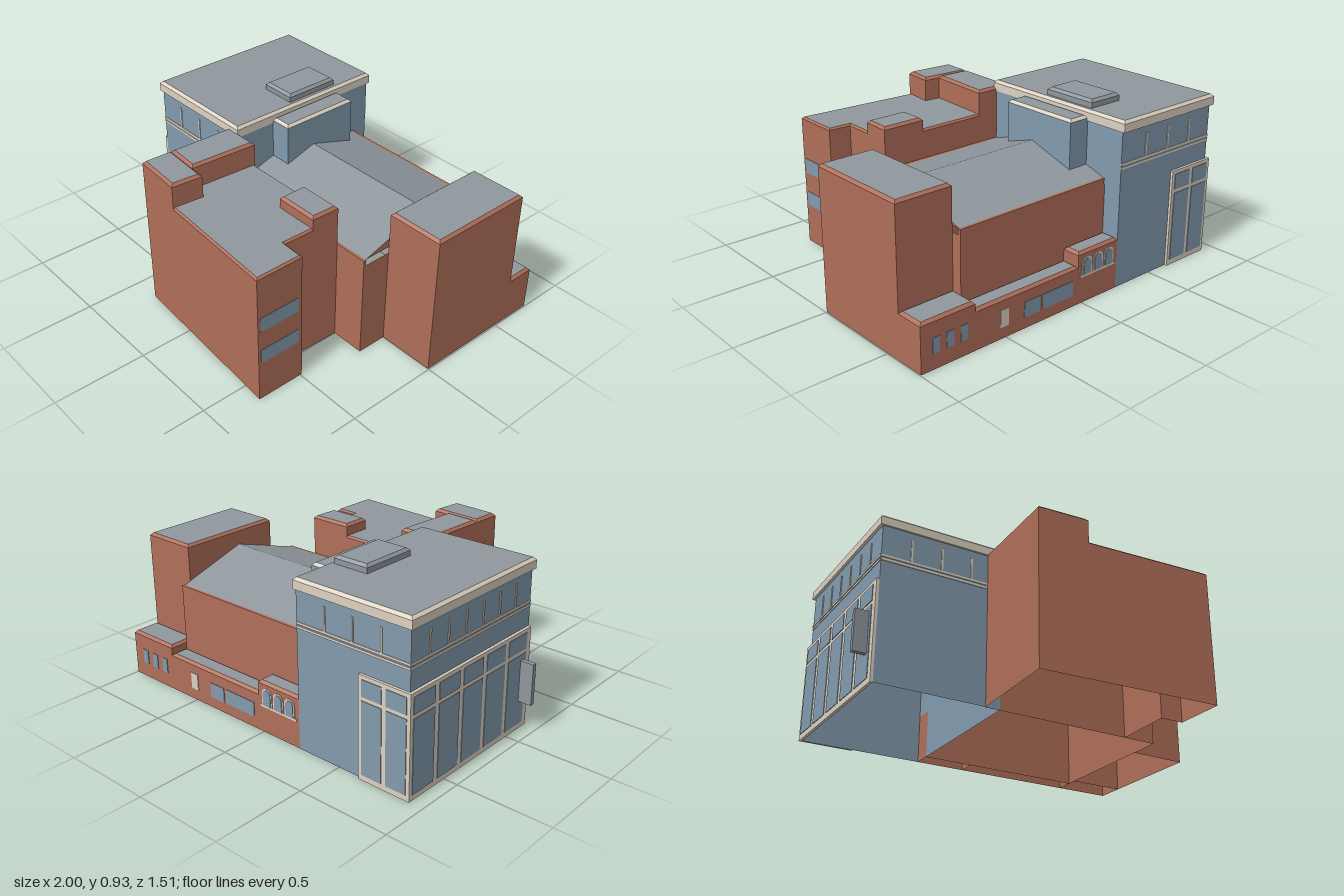
import * as THREE from 'three';

const mat = (color) => new THREE.MeshStandardMaterial({ color, side: THREE.DoubleSide, flatShading: true });

export function createModel() {
  const model = new THREE.Group();
  const brick = mat(0xb06f59), glass = mat(0x829aad), roofGrey = mat(0x8f979d), cream = mat(0xdcd1c1);

  const add = (name, geometry, material, parent = model) => {
    const mesh = new THREE.Mesh(geometry, material);
    mesh.name = name;
    parent.add(mesh);
    return mesh;
  };

  // Axis-aligned box from its limits
  const box = (name, x0, x1, y0, y1, z0, z1, material, parent = model) =>
    add(name, new THREE.BoxGeometry(x1 - x0, y1 - y0, z1 - z0)
      .translate((x0 + x1) / 2, (y0 + y1) / 2, (z0 + z1) / 2), material, parent);

  // Footprints run front edge first, then the right-hand end, back and left-hand end
  const rect = (x0, x1, z0, z1) => [[x0, z1], [x1, z1], [x1, z0], [x0, z0]];

  // Ring of wall quads between two outlines
  const band = (low, y0, high, y1, skip = []) => {
    const p = [];
    low.forEach((a, i) => {
      if (skip.includes(i)) return;
      const j = (i + 1) % low.length;
      const A = [a[0], y0, a[1]], B = [low[j][0], y0, low[j][1]];
      const C = [high[j][0], y1, high[j][1]], D = [high[i][0], y1, high[i][1]];
      p.push(...A, ...B, ...C, ...A, ...C, ...D);
    });
    const g = new THREE.BufferGeometry();
    g.setAttribute('position', new THREE.Float32BufferAttribute(p, 3));
    g.computeVertexNormals();
    return g;
  };

  const cap = (pts, y) => new THREE.ShapeGeometry(
    new THREE.Shape(pts.map(([x, z]) => new THREE.Vector2(x, -z)))).rotateX(-Math.PI / 2).translate(0, y, 0);

  // Move an outline inwards by w with mitred corners
  const inset = (pts, w) => pts.map((p, i) => {
    const n = pts.length, a = pts[(i + n - 1) % n], b = pts[(i + 1) % n];
    const normal = (s, e) => {
      const l = Math.hypot(e[0] - s[0], e[1] - s[1]);
      return [-(e[1] - s[1]) / l, (e[0] - s[0]) / l];
    };
    const n1 = normal(a, p), n2 = normal(p, b);
    const k = w / (1 + n1[0] * n2[0] + n1[1] * n2[1]);
    return [p[0] - k * (n1[0] + n2[0]), p[1] - k * (n1[1] + n2[1])];
  });

  // Hollow block: walls, bevelled rim and flat roof
  const block = (name, pts, y0, y1, wall, rim = wall, bevel = 0.014) => {
    const g = new THREE.Group();
    g.name = name;
    model.add(g);
    const top = inset(pts, bevel);
    add('walls', band(pts, y0, pts, y1 - bevel), wall, g);
    add('rim', band(pts, y1 - bevel, top, y1), rim, g);
    add('roof', cap(top, y1), roofGrey, g);
    return g;
  };

  // Glazed block, open behind the framed end panel
  const hallGlass = rect(-0.91, -0.245, -0.74, 0.17);
  add('glassWallsLower', band(hallGlass, 0, hallGlass, 0.535, [3]), glass);
  add('glassWallsUpper', band(hallGlass, 0.535, hallGlass, 0.83), glass);
  const eave = rect(-0.925, -0.24, -0.755, 0.18);
  const cornice = block('cornice', eave, 0.83, 0.888, cream);
  add('soffit', cap(eave, 0.83), cream, cornice);
  block('roofUnit', rect(-0.47, -0.27, -0.51, -0.2), 0.88, 0.93, roofGrey);
  block('glassBay', rect(-0.245, -0.125, -0.51, -0.06), 0.55, 0.858, glass, cream);

  // Mullions on the three open sides of the upper glazing
  const mullions = new THREE.Group();
  mullions.name = 'mullions';
  model.add(mullions);
  for (const [z, xEnd] of [[0.17, -0.33], [-0.74, -0.245]]) {
    for (const y of [0.643, 0.663]) box('rail', -0.91, xEnd, y - 0.006, y + 0.006, z - 0.004, z + 0.004, cream, mullions);
    for (const x of [-0.75, -0.585, -0.42])
      box('post', x - 0.005, x + 0.005, 0.66, 0.79, z - 0.004, z + 0.004, cream, mullions);
  }
  for (const y of [0.643, 0.663]) box('rail', -0.914, -0.906, y - 0.006, y + 0.006, -0.74, 0.17, cream, mullions);
  for (let i = 1; i < 7; i++) {
    const z = -0.74 + i * 0.13;
    box('post', -0.914, -0.906, 0.66, 0.79, z - 0.005, z + 0.005, cream, mullions);
  }

  // Framed panels around the corner of the glazed block
  const panels = new THREE.Group();
  panels.name = 'framedPanels';
  model.add(panels);
  box('endFrame', -0.925, -0.91, 0, 0.535, -0.755, 0.17, cream, panels);
  box('backFrame', -0.925, -0.63, 0, 0.535, -0.755, -0.741, cream, panels);
  for (const [y0, y1] of [[0.03, 0.41], [0.43, 0.515]]) {
    for (let i = 0; i < 5; i++) {
      const z = -0.735 + i * 0.18;
      box('endPane', -0.928, -0.924, y0, y1, z, z + 0.15, glass, panels);
    }
    for (const x of [-0.905, -0.765]) box('backPane', x, x + 0.115, y0, y1, -0.758, -0.754, glass, panels);
  }
  box('bladeSign', -1, -0.925, 0.16, 0.38, 0.09, 0.115, roofGrey);

  // Gabled hall
  const hall = rect(-0.245, 0.685, -0.64, 0.165);
  add('hallWalls', band(hall, 0, hall, 0.535, [3]), brick);
  for (const z of [-0.64, 0.15]) box('hallParapet', -0.24, 0.685, 0.535, 0.565, z, z + 0.015, brick);
  const gable = new THREE.Shape([[0.625, 0.565], [-0.15, 0.565], [0.24, 0.685]].map((p) => new THREE.Vector2(...p)));
  add('hallGableEnd', new THREE.ShapeGeometry(gable).rotateY(Math.PI / 2).translate(0.68, 0, 0), brick);
  const slope = (z, y) => {
    const w = 0.925, run = Math.hypot(-0.24 - z, 0.685 - y);
    const m = add('hallRoofSlope', new THREE.PlaneGeometry(w, run), roofGrey);
    m.position.set(0.2175, (y + 0.685) / 2, (z - 0.24) / 2);
    const a = Math.atan2(0.685 - y, Math.abs(-0.24 - z));
    m.rotation.x = z > -0.24 ? -Math.PI / 2 + a : -Math.PI / 2 - a;
  };
  slope(0.15, 0.565);
  slope(-0.625, 0.565);

  // Front wing on a slightly skewed plan, with raised roof volumes
  block('frontWing', [[-0.345, 0.69], [0.615, 0.755], [0.615, 0.49], [0.49, 0.485], [0.5, 0.165], [-0.325, 0.165]],
    0, 0.722, brick, brick, 0.01);
  block('raisedCorner', [[-0.345, 0.69], [-0.072, 0.709], [-0.055, 0.542], [-0.338, 0.523]], 0.7, 0.852, brick);
  block('raisedSide', [[-0.338, 0.523], [-0.145, 0.536], [-0.12, 0.165], [-0.325, 0.165]], 0.7, 0.852, brick);
  block('raisedStair', [[0.258, 0.32], [0.496, 0.32], [0.501, 0.165], [0.258, 0.165]], 0.7, 0.786, brick);
  for (const y of [0.22, 0.41]) box('wingWindow', 0.612, 0.617, y, y + 0.08, 0.51, 0.74, glass);

  // End tower and the low row along the back
  block('endTower', rect(0.685, 0.995, -0.585, 0), 0, 0.77, brick);
  block('lowEnd', rect(0.685, 0.995, -0.74, -0.585), 0, 0.252, brick);
  block('lowRow', rect(0.03, 0.685, -0.74, -0.64), 0, 0.21, brick);
  block('archedRoom', rect(-0.245, 0.03, -0.74, -0.64), 0, 0.278, brick);

  // Back openings
  const opening = (name, x0, x1, y0, y1, m) => box(name, x0, x1, y0, y1, -0.743, -0.738, m);
  for (const x of [0.75, 0.83, 0.91]) opening('smallWindow', x - 0.02, x + 0.02, 0.08, 0.16, glass);
  opening('backDoor', 0.485, 0.535, 0.06, 0.15, cream);
  opening('backWindow', 0.285, 0.385, 0.06, 0.14, glass);
  opening('backWindow', 0.065, 0.27, 0.06, 0.14, glass);
  opening('archSill', -0.23, 0.015, 0.14, 0.152, cream);
  const arch = (r, h) => {
    const s = new THREE.Shape();
    s.moveTo(-r, 0).lineTo(r, 0).lineTo(r, h).absarc(0, h, r, 0, Math.PI, false);
    return s;
  };
  for (const x of [-0.03, -0.107, -0.184]) {
    const group = new THREE.Group();
    group.name = 'archedWindow';
    group.position.set(x, 0.152, -0.739);
    model.add(group);
    [[0.034, 0.06, 0.004, cream, 'archFrame'], [0.025, 0.06, 0.007, glass, 'archPane']].forEach(([r, h, d, m, n]) =>
      add(n, new THREE.ExtrudeGeometry(arch(r, h), { depth: d, bevelEnabled: false, curveSegments: 6 })
        .translate(0, 0, -d), m, group));
  }
  return model;
}
